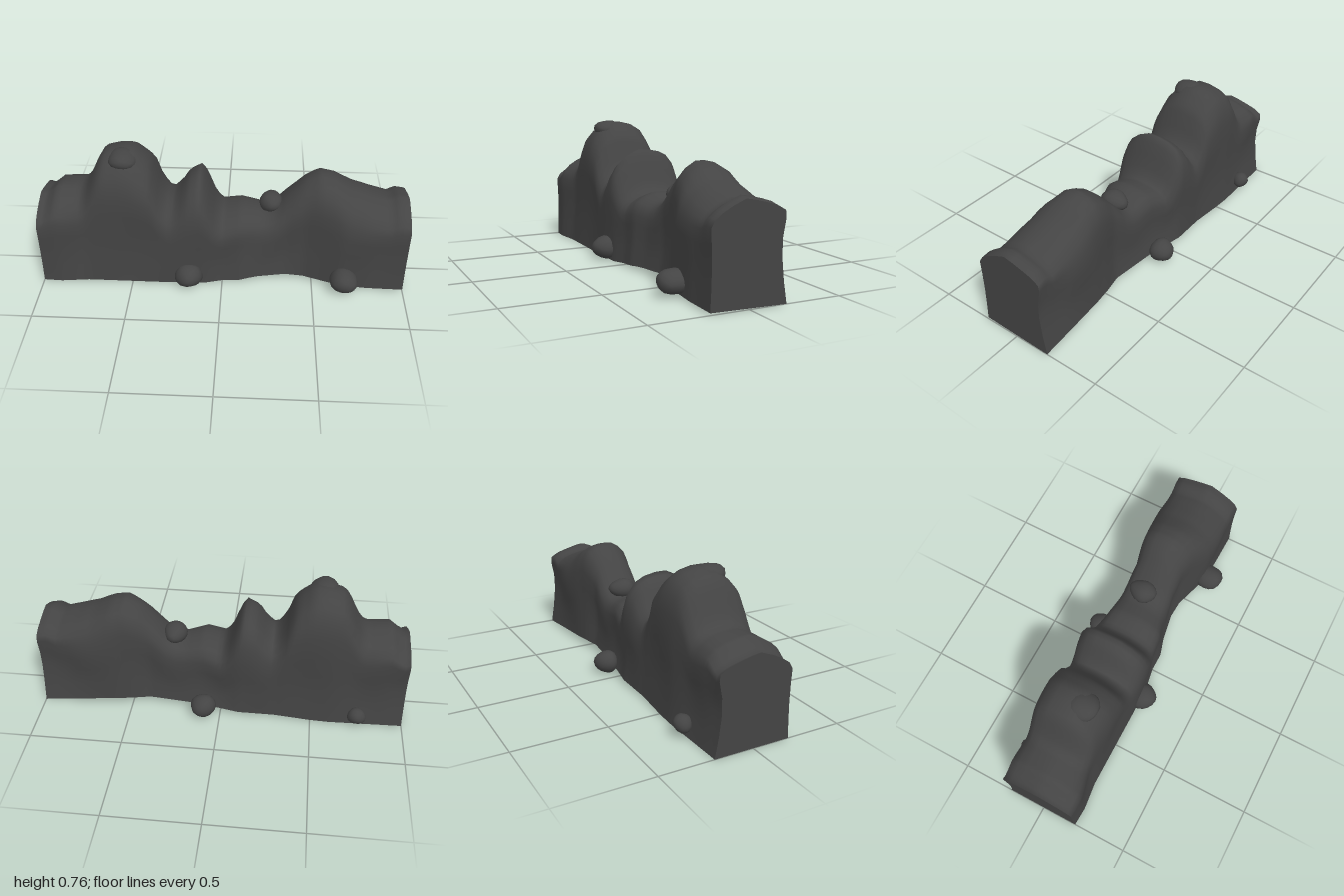
import * as THREE from 'three';
import { mergeVertices } from 'three/addons/utils/BufferGeometryUtils.js';

const stone = new THREE.MeshStandardMaterial({ color: 0x444444, side: THREE.DoubleSide });
stone.name = 'dark stone';

// Ridge line: x, height
const ridge = [[-1, .475], [-.97, .46], [-.9, .52], [-.76, .515], [-.72, .57], [-.66, .7], [-.63, .73], [-.54, .755],
  [-.48, .75], [-.42, .7], [-.38, .66], [-.35, .56], [-.31, .48], [-.28, .46], [-.23, .51], [-.19, .58], [-.12, .62],
  [-.09, .56], [-.04, .42], [0, .385], [.1, .41], [.2, .385], [.25, .39], [.3, .42], [.35, .48], [.41, .545],
  [.45, .58], [.52, .62], [.6, .6], [.7, .545], [.8, .51], [.9, .485], [.95, .51], [1, .5]];
// Front and back faces in plan: x, z
const front = [[-1, .2], [-.9, .205], [-.75, .188], [-.3, .19], [-.1, .185], [0, .168], [.1, .17], [.2, .14],
  [.35, .115], [.45, .12], [.55, .15], [.65, .18], [.8, .195], [1, .2]];
const back = [[-1, -.21], [-.6, -.22], [-.3, -.205], [-.1, -.215], [0, -.2], [.1, -.185], [.25, -.17],
  [.4, -.155], [.5, -.175], [.6, -.185], [.8, -.195], [1, -.2]];
// Height of the foot along the front and the back
const frontFoot = [[-1, 0], [-.1, 0], [.15, .022], [.35, .025], [.7, .01], [1, .01]];
const backFoot = [[-1, 0], [-.5, 0], [-.1, .02], [.15, .035], [.5, .035], [.8, .018], [1, 0]];
// Cross-sections from the front foot over the top to the back foot: depth, height (both relative)
const section = [[1, 0], [.98, .2], [.97, .4], [.99, .58], [.97, .71], [.89, .8], [.76, .88], [.52, .95], [.2, 1],
  [-.12, 1], [-.45, .98], [-.7, .94], [-.89, .86], [-.98, .74], [-.99, .56], [-.95, .4], [-.95, .2], [-1, 0]];
const endSection = [[1, 0], [.98, .2], [.97, .4], [.98, .6], [1, .76], [.9, .83], [.7, .89], [.45, .945], [.12, 1],
  [-.1, .985], [-.45, .95], [-.7, .92], [-.92, .87], [-.94, .8], [-.86, .63], [-.85, .45], [-.91, .22], [-1, 0]];

function sample(table, x) {
  let i = 1;
  while (i < table.length - 1 && table[i][0] < x) i++;
  const [x0, a] = table[i - 1], [x1, b] = table[i];
  return a + (b - a) * THREE.MathUtils.clamp((x - x0) / (x1 - x0), 0, 1);
}

function ring(x) {
  const h = sample(ridge, x), f = sample(front, x), b = sample(back, x);
  const lowFront = sample(frontFoot, x), lowBack = sample(backFoot, x);
  const mid = (f + b) / 2, half = (f - b) / 2;
  const toEnd = THREE.MathUtils.smoothstep(Math.abs(x), .75, 1);
  return section.map(([d0, t0], j) => {
    const d = THREE.MathUtils.lerp(d0, endSection[j][0], toEnd);
    const t = THREE.MathUtils.lerp(t0, endSection[j][1], toEnd);
    // gentle hollows in the sides, fading out at foot and crest
    const dent = .01 * Math.sin(Math.PI * t) * (Math.sin(7 * x + 3 * d) + .6 * Math.sin(15 * x - 5 * t) - .4);
    const low = d > 0 ? lowFront : lowBack;
    return new THREE.Vector3(x, low * (1 - t) + h * t, mid + d * (half + dent * (1 - toEnd)));
  });
}

function geometryFrom(points, index) {
  const g = new THREE.BufferGeometry().setFromPoints(points);
  g.setIndex(index);
  g.computeVertexNormals();
  return g;
}

function add(group, name, geometry) {
  const m = new THREE.Mesh(geometry, stone);
  m.name = name;
  group.add(m);
  return m;
}

// Rounded stone with irregular bulges
function boulder(group, name, [x, y, z], [rx, ry, rz], seed) {
  let g = new THREE.IcosahedronGeometry(1, 2);
  g.deleteAttribute('normal');
  g.deleteAttribute('uv');
  g = mergeVertices(g, 1e-4);
  const p = g.attributes.position, v = new THREE.Vector3();
  for (let i = 0; i < p.count; i++) {
    v.fromBufferAttribute(p, i);
    const k = 1 + .07 * Math.sin(3 * v.x + seed) * Math.cos(2.5 * v.y - seed) + .05 * Math.sin(4 * v.z + 2 * seed);
    p.setXYZ(i, v.x * rx * k, Math.max(v.y * ry * k, -.97 * ry), v.z * rz * k);
  }
  g.computeVertexNormals();
  add(group, name, g).position.set(x, y, z);
}

export function createModel() {
  const group = new THREE.Group();
  group.name = 'rockyRidge';

  // Ridge skin lofted along x, open underneath
  const stations = 80, n = section.length, points = [], index = [];
  for (let i = 0; i <= stations; i++) points.push(...ring(-1 + 2 * i / stations));
  for (let i = 0; i < stations; i++) {
    for (let j = 0; j < n - 1; j++) {
      const a = i * n + j, b = a + n;
      index.push(a, b, b + 1, a, b + 1, a + 1);
    }
  }
  add(group, 'ridgeSkin', geometryFrom(points, index));

  // Flat cut ends
  for (const side of [-1, 1]) {
    const edge = ring(side), fan = [];
    edge.push(new THREE.Vector3(side, (edge[0].y + edge[n - 1].y) / 2, 0));
    for (let j = 0; j < n - 1; j++) fan.push(n, ...(side > 0 ? [j + 1, j] : [j, j + 1]));
    add(group, side > 0 ? 'leftEnd' : 'rightEnd', geometryFrom(edge, fan));
  }

  // Loose boulders at the foot and on the crest
  boulder(group, 'frontBoulderRight', [-.185, .064, .2], [.077, .065, .078], 1);
  boulder(group, 'frontBoulderLeft', [.67, .073, .21], [.077, .062, .08], 2.2);
  boulder(group, 'backBoulderLeft', [.09, .062, -.23], [.07, .062, .065], 3.1);
  boulder(group, 'backBoulderRight', [-.75, .07, -.23], [.05, .045, .05], 4.3);
  boulder(group, 'peakBoulder', [-.53, .71, .035], [.08, .05, .08], 5.2);
  boulder(group, 'saddleBoulder', [.26, .418, -.04], [.064, .053, .08], .4);
  return group;
}
